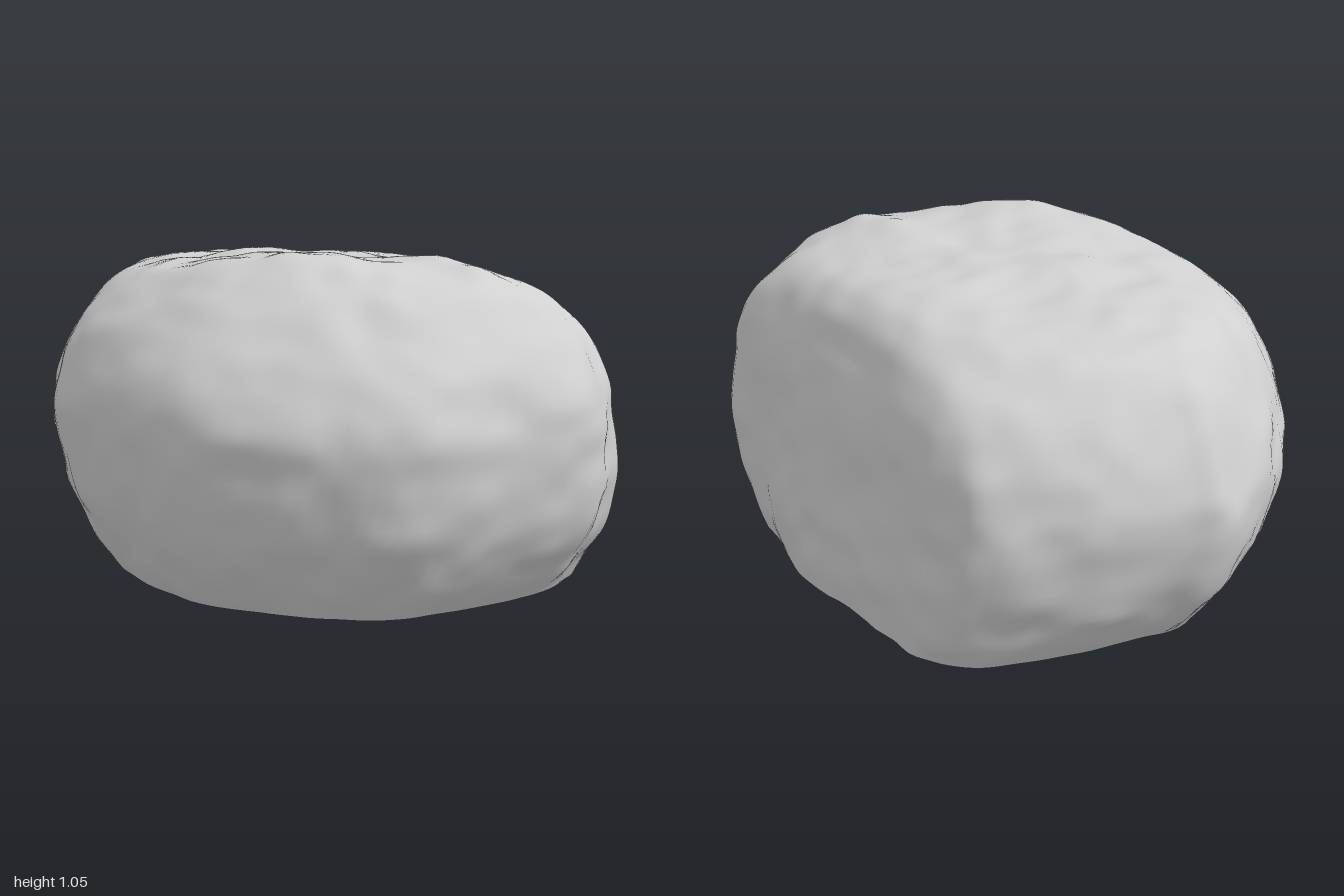
import * as THREE from 'three';
import { mergeVertices } from 'three/addons/utils/BufferGeometryUtils.js';

// plan outline at the widest extent [x, z], counter-clockwise from above
const OUTLINE = [
  [-1, -0.05], [-0.94, 0.14], [-0.86, 0.28], [-0.72, 0.45], [-0.56, 0.57], [-0.4, 0.66], [-0.2, 0.72],
  [0.12, 0.75], [0.36, 0.72], [0.58, 0.61], [0.75, 0.48], [0.88, 0.36], [0.95, 0.2], [0.98, 0],
  [1, -0.2], [0.99, -0.35], [0.9, -0.5], [0.81, -0.62], [0.6, -0.67], [0.4, -0.73], [0.2, -0.75],
  [-0.1, -0.75], [-0.4, -0.76], [-0.6, -0.74], [-0.72, -0.66], [-0.83, -0.51], [-0.91, -0.36], [-0.96, -0.18],
];
// stacked levels: [y, reach to -x, +x, -z, +z]
const LEVELS = [
  [0, 0.76, 0.78, 0.74, 0.56], [0.1, 0.85, 0.87, 0.755, 0.635], [0.25, 0.94, 0.96, 0.76, 0.71],
  [0.45, 1, 1, 0.745, 0.75], [0.6, 0.975, 0.99, 0.735, 0.755], [0.75, 0.91, 0.93, 0.71, 0.7],
  [0.87, 0.83, 0.83, 0.655, 0.59], [0.94, 0.74, 0.74, 0.57, 0.48], [0.975, 0.57, 0.6, 0.46, 0.37],
  [0.99, 0.35, 0.4, 0.31, 0.25], [1, 0.17, 0.2, 0.15, 0.12], [1, 0, 0, 0, 0],
];
const AROUND = 128, UP = 77;
const { clamp, lerp, smoothstep } = THREE.MathUtils;

// Catmull-Rom interpolation through rows of numbers
function sample(rows, t, closed) {
  const n = rows.length, i = Math.floor(t), f = t - i;
  const at = k => rows[closed ? (k + n) % n : clamp(k, 0, n - 1)];
  const [a, b, c, d] = [at(i - 1), at(i), at(i + 1), at(i + 2)];
  return b.map((v, k) => v + 0.5 * f * (c[k] - a[k]
    + f * (2 * a[k] - 5 * v + 4 * c[k] - d[k] + f * (3 * (v - c[k]) + d[k] - a[k]))));
}

const bump = (a, b, r) => Math.exp(-(a * a + b * b) / (r * r));

// seeded lattice noise, -1 to 1
function hash(x, y, z) {
  const s = Math.sin(x * 127.1 + y * 311.7 + z * 74.7) * 43758.5453;
  return 2 * (s - Math.floor(s)) - 1;
}
function noise(x, y, z) {
  const [i, j, k] = [x, y, z].map(Math.floor);
  const [u, v, w] = [x - i, y - j, z - k].map(t => t * t * (3 - 2 * t));
  const row = (b, c) => lerp(hash(i, b, c), hash(i + 1, b, c), u);
  const layer = c => lerp(row(j, c), row(j + 1, c), v);
  return lerp(layer(k), layer(k + 1), w);
}

function surfacePoint(j, i) {
  const [ox, oz] = sample(OUTLINE, (j / AROUND) * OUTLINE.length, true);
  let [y, l, r, b, f] = sample(LEVELS, (i / UP) * (LEVELS.length - 1), false);
  let x = ox * (ox < 0 ? l : r);
  let z = oz < 0 ? (oz / 0.76) * b : (oz / 0.75) * f;
  const crown = smoothstep(y, 0.7, 1);

  // shallow hollow in the broken back face, leaning in towards its upper edge
  const back = smoothstep(-z, 0.4, 0.62);
  z += back * (0.055 * bump((x - 0.25) / 0.5, (y - 0.5) / 0.35, 1)
    + 0.045 * bump((x - 0.1) / 0.45, (y - 0.82) / 0.2, 1));

  // uneven crown, dropping towards the two back corners
  y += crown * (0.07 * bump(x - 0.3, z - 0.28, 0.27) + 0.025 * bump(x - 0.55, z + 0.15, 0.28)
    + 0.01 * bump(x + 0.55, z, 0.3) - 0.06 * bump(x + 0.5, z + 0.6, 0.35)
    - 0.04 * bump(x - 0.6, z + 0.55, 0.25));

  // softly worn front corner
  const over = 0.08 * Math.log(1 + Math.exp((y + 0.7 * (x + z) - 1.55) / 0.08));
  y -= over * 0.5 * smoothstep(y, 0, 0.3);
  x -= over * 0.35;
  z -= over * 0.35;

  // lumpy surface: sideways on the flanks, upwards on the crown
  const w = 0.014 * noise(5 * x + 9, 5 * y, 5 * z) + 0.01 * noise(11 * x, 11 * y + 4, 11 * z);
  const side = (1 - crown) * w / (Math.hypot(x, z) || 1);
  return [x + side * x, y + crown * w, z + side * z];
}

function geometryFrom(positions, index) {
  let g = new THREE.BufferGeometry();
  g.setAttribute('position', new THREE.Float32BufferAttribute(positions, 3));
  g.setIndex(index);
  g = mergeVertices(g, 1e-5);
  g.computeVertexNormals();
  return g;
}

export function createModel() {
  const stone = new THREE.MeshStandardMaterial({ color: 0xd0d0d0 });
  stone.name = 'grey stone';
  const group = new THREE.Group();
  group.name = 'boulder';

  // rounded body; the last ring closes to a point and needs one triangle per step
  const positions = [], index = [];
  for (let i = 0; i <= UP; i++) {
    for (let j = 0; j < AROUND; j++) positions.push(...surfacePoint(j, i));
  }
  for (let i = 0; i < UP; i++) {
    for (let j = 0; j < AROUND; j++) {
      const a = i * AROUND + j, b = i * AROUND + (j + 1) % AROUND;
      index.push(a, b, b + AROUND);
      if (i < UP - 1) index.push(a, b + AROUND, a + AROUND);
    }
  }
  const body = new THREE.Mesh(geometryFrom(positions, index), stone);
  body.name = 'boulderBody';

  // flat underside
  const rim = positions.slice(0, AROUND * 3), fan = [];
  rim.push(0, 0, 0);
  for (let j = 0; j < AROUND; j++) fan.push(AROUND, (j + 1) % AROUND, j);
  const base = new THREE.Mesh(geometryFrom(rim, fan), stone);
  base.name = 'flatUnderside';

  group.add(body, base);
  return group;
}
